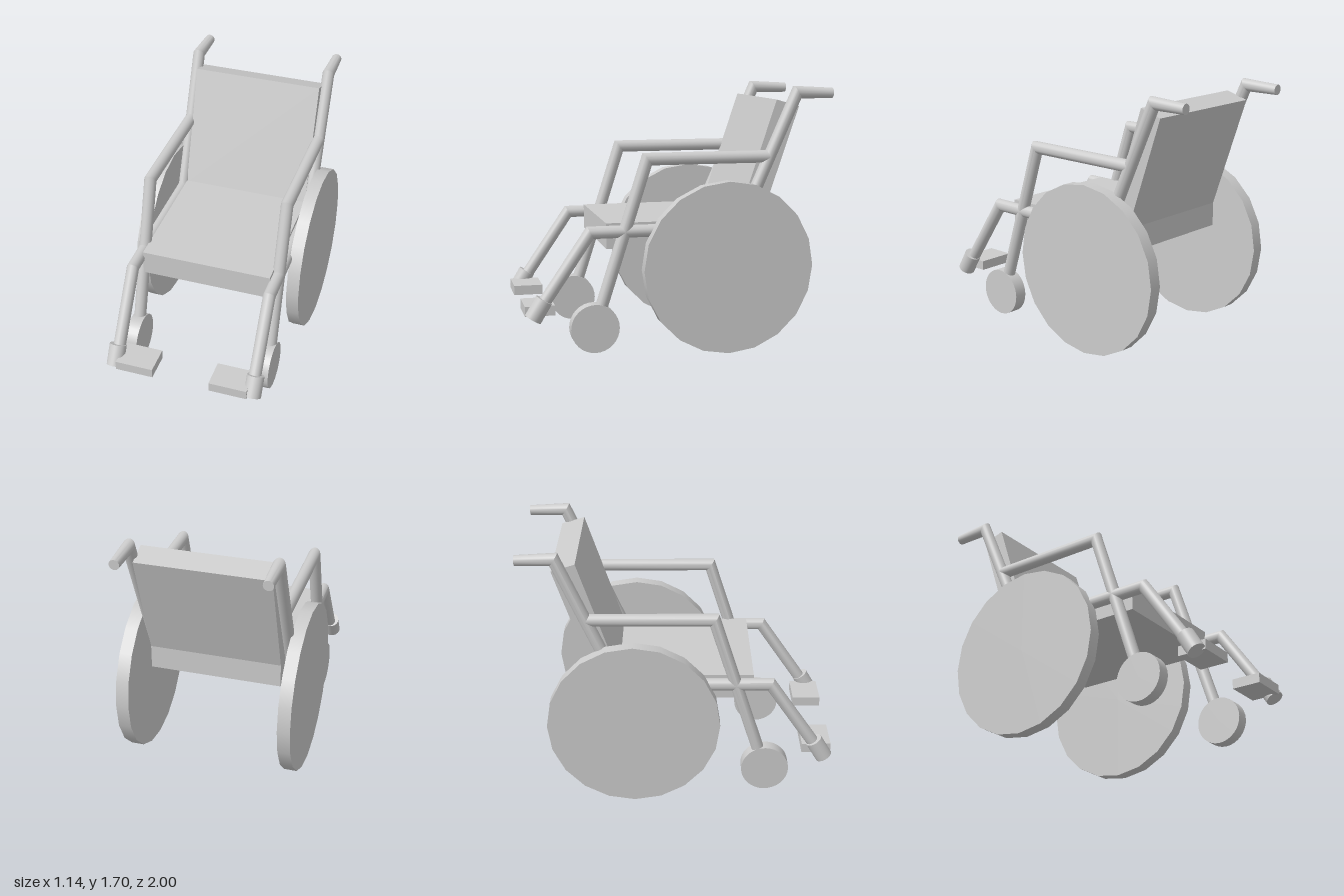
import * as THREE from 'three';
import { toCreasedNormals } from 'three/addons/utils/BufferGeometryUtils.js';

const material = new THREE.MeshStandardMaterial({ color: 0xcccccc });
const TUBE_X = 0.459;

function part(name, geometry, x = 0, y = 0, z = 0) {
  const mesh = new THREE.Mesh(geometry, material);
  mesh.name = name;
  mesh.position.set(x, y, z);
  return mesh;
}

// Round tube with mitred bends; points are [z, y, radius] in a side plane.
function mitredTube(points, sides = 20) {
  const pos = [];
  const index = [];
  const dir = (a, b) => new THREE.Vector2(b[0] - a[0], b[1] - a[1]).normalize();
  const last = points.length - 1;
  points.forEach((p, k) => {
    const before = dir(points[Math.max(k - 1, 0)], points[Math.max(k, 1)]);
    const after = dir(points[Math.min(k, last - 1)], points[Math.min(k + 1, last)]);
    const t = before.clone().add(after).normalize();
    const stretch = 1 / t.dot(before);
    for (let i = 0; i < sides; i++) {
      const a = (i / sides) * Math.PI * 2;
      const n = p[2] * stretch * Math.cos(a);
      pos.push(p[2] * Math.sin(a), p[1] - t.x * n, p[0] + t.y * n);
    }
  });
  pos.push(0, points[0][1], points[0][0], 0, points[last][1], points[last][0]);
  const startCentre = points.length * sides;
  for (let i = 0; i < sides; i++) {
    const j = (i + 1) % sides;
    for (let k = 0; k < last; k++) {
      const a = k * sides;
      const b = a + sides;
      index.push(a + i, a + j, b + j, a + i, b + j, b + i);
    }
    index.push(startCentre, j, i);
    index.push(startCentre + 1, last * sides + i, last * sides + j);
  }
  const geometry = new THREE.BufferGeometry();
  geometry.setAttribute('position', new THREE.Float32BufferAttribute(pos, 3));
  geometry.setIndex(index);
  return toCreasedNormals(geometry, 0.45);
}

// Solid disc wheel with its axle along x.
function disc(radius, width, sides) {
  return new THREE.CylinderGeometry(radius, radius, width, sides).rotateZ(Math.PI / 2);
}

// Slab with a side profile of [z, y] points, centred across x.
function slab(profile, width) {
  const shape = new THREE.Shape(profile.map(([z, y]) => new THREE.Vector2(-z, y)));
  const geometry = new THREE.ExtrudeGeometry(shape, { depth: width, bevelEnabled: false });
  return geometry.translate(0, 0, -width / 2).rotateY(Math.PI / 2);
}

function createSide(s, name) {
  const side = new THREE.Group();
  side.name = name;
  const r = 0.04;

  // Wheels
  side.add(part('rearWheel', disc(0.555, 0.083, 20), s * 0.527, 0.557, -0.29));
  side.add(part('casterWheel', disc(0.155, 0.085, 32), s * 0.457, 0.195, 0.565));

  // Frame tubes
  side.add(part('backTubeAndHandle', mitredTube([
    [-0.38, 0.8, r], [-0.762, 1.662, r], [-1, 1.655, 0.033],
  ]), s * TUBE_X));
  side.add(part('armrestAndFrontLeg', mitredTube([
    [-0.58, 1.255, r], [0.222, 1.255, r], [0.56, 0.2, r],
  ]), s * TUBE_X));
  side.add(part('seatRailAndFootTube', mitredTube([
    [-0.4, 0.803, r], [0.588, 0.803, r], [0.91, 0.33, r],
  ]), s * TUBE_X));

  // Footrest
  side.add(part('footrestSleeve', mitredTube([
    [0.882, 0.392, 0.056], [0.954, 0.272, 0.056],
  ], 28), s * 0.466));
  side.add(part('footPlate', new THREE.BoxGeometry(0.25, 0.063, 0.19), s * 0.315, 0.315, 0.905));
  return side;
}

export function createModel() {
  const model = new THREE.Group();
  model.name = 'wheelchair';

  // Seat cushion and reclined backrest
  model.add(part('seat', new THREE.BoxGeometry(0.86, 0.163, 1.02), 0, 0.772, -0.03));
  model.add(part('backrest', slab([
    [-0.636, 1.615], [-0.786, 1.57], [-0.538, 0.84], [-0.376, 0.84],
  ], 0.86)));

  model.add(createSide(1, 'leftSide'), createSide(-1, 'rightSide'));
  return model;
}
